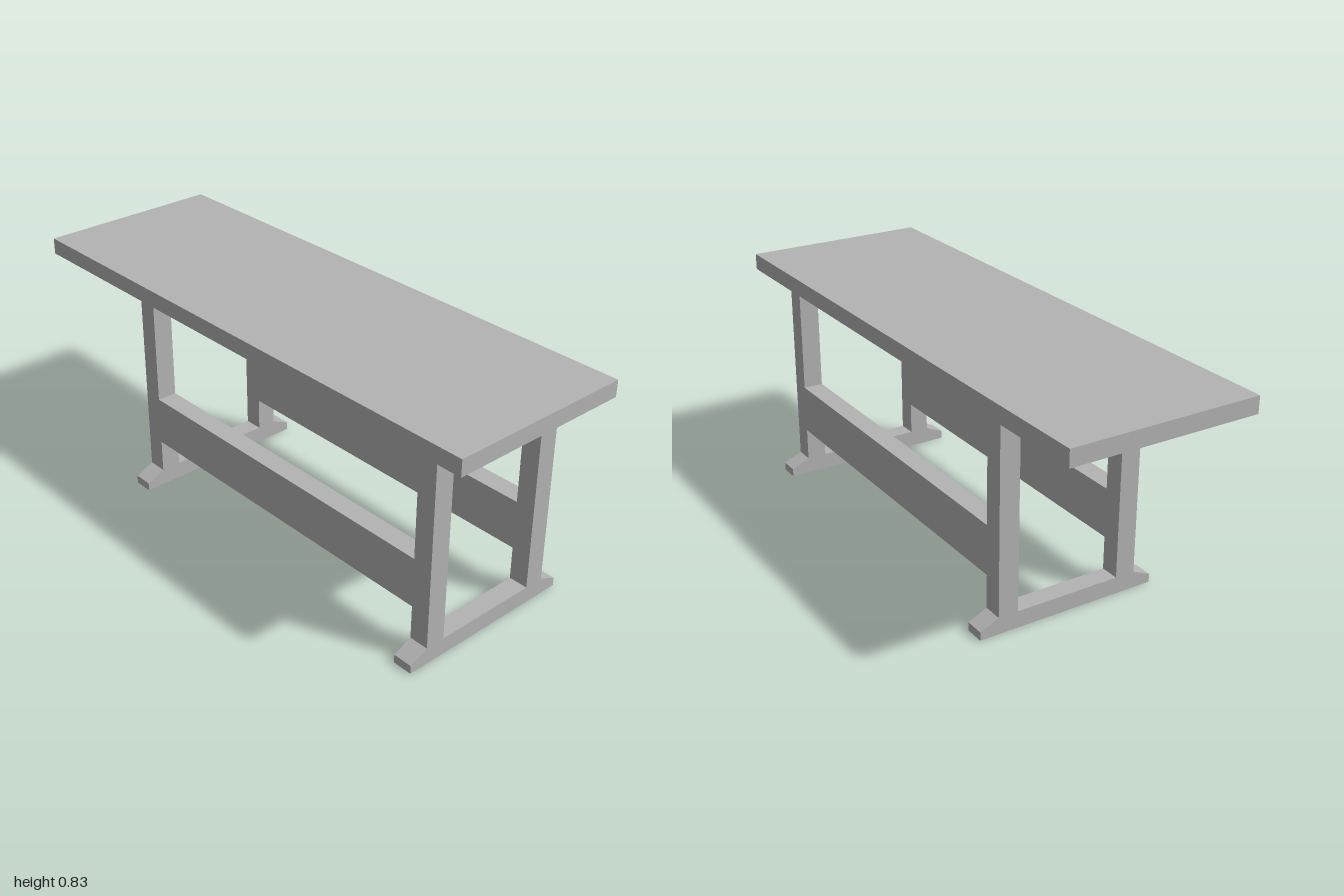
import * as THREE from 'three';

const TOP_Y = 0.776;      // underside of the table top
const HEIGHT = 0.834;
const HALF_DEPTH = 0.333;
const LEG_OUT = 0.265;    // outer and inner z of the uprights
const LEG_IN = 0.193;
const LEG_W = 0.07;       // frame thickness along x
const FRAME_X = [-0.567, 0.78]; // lower x of each end frame

// End frame outline with flared foot and head, and a rectangular opening
function frameGeometry() {
  const half = [[HALF_DEPTH, 0], [HALF_DEPTH, 0.03], [LEG_OUT, 0.06], [LEG_OUT, 0.745], [0.3, TOP_Y]];
  const outline = [...half, ...half.map(([z, y]) => [-z, y]).reverse()];
  const shape = new THREE.Shape(outline.map(([z, y]) => new THREE.Vector2(z, y)));
  const opening = [[-LEG_IN, 0.06], [-LEG_IN, 0.745], [LEG_IN, 0.745], [LEG_IN, 0.06]];
  shape.holes.push(new THREE.Path(opening.map(([z, y]) => new THREE.Vector2(z, y))));
  return new THREE.ExtrudeGeometry(shape, { depth: LEG_W, bevelEnabled: false }).rotateY(Math.PI / 2);
}

export function createModel() {
  const group = new THREE.Group();
  group.name = 'trestleTable';
  const grey = new THREE.MeshStandardMaterial({ color: 0xb3b3b3 });
  grey.name = 'grey';

  const add = (name, geometry, x, y, z) => {
    const mesh = new THREE.Mesh(geometry, grey);
    mesh.name = name;
    mesh.position.set(x, y, z);
    group.add(mesh);
  };

  // Table top
  add('tableTop', new THREE.BoxGeometry(2, HEIGHT - TOP_Y, HALF_DEPTH * 2), 0, (HEIGHT + TOP_Y) / 2, 0);

  // End frames
  const frame = frameGeometry();
  add('rightFrame', frame, FRAME_X[0], 0, 0);
  add('leftFrame', frame, FRAME_X[1], 0, 0);

  // Long rails joining the frames, flush with the uprights
  const x0 = FRAME_X[0] + LEG_W, x1 = FRAME_X[1];
  const rail = new THREE.BoxGeometry(x1 - x0, 0.176, LEG_OUT - LEG_IN);
  for (const [name, side] of [['frontRail', 1], ['backRail', -1]]) {
    add(name, rail, (x0 + x1) / 2, 0.268, side * (LEG_OUT + LEG_IN) / 2);
  }

  return group;
}
